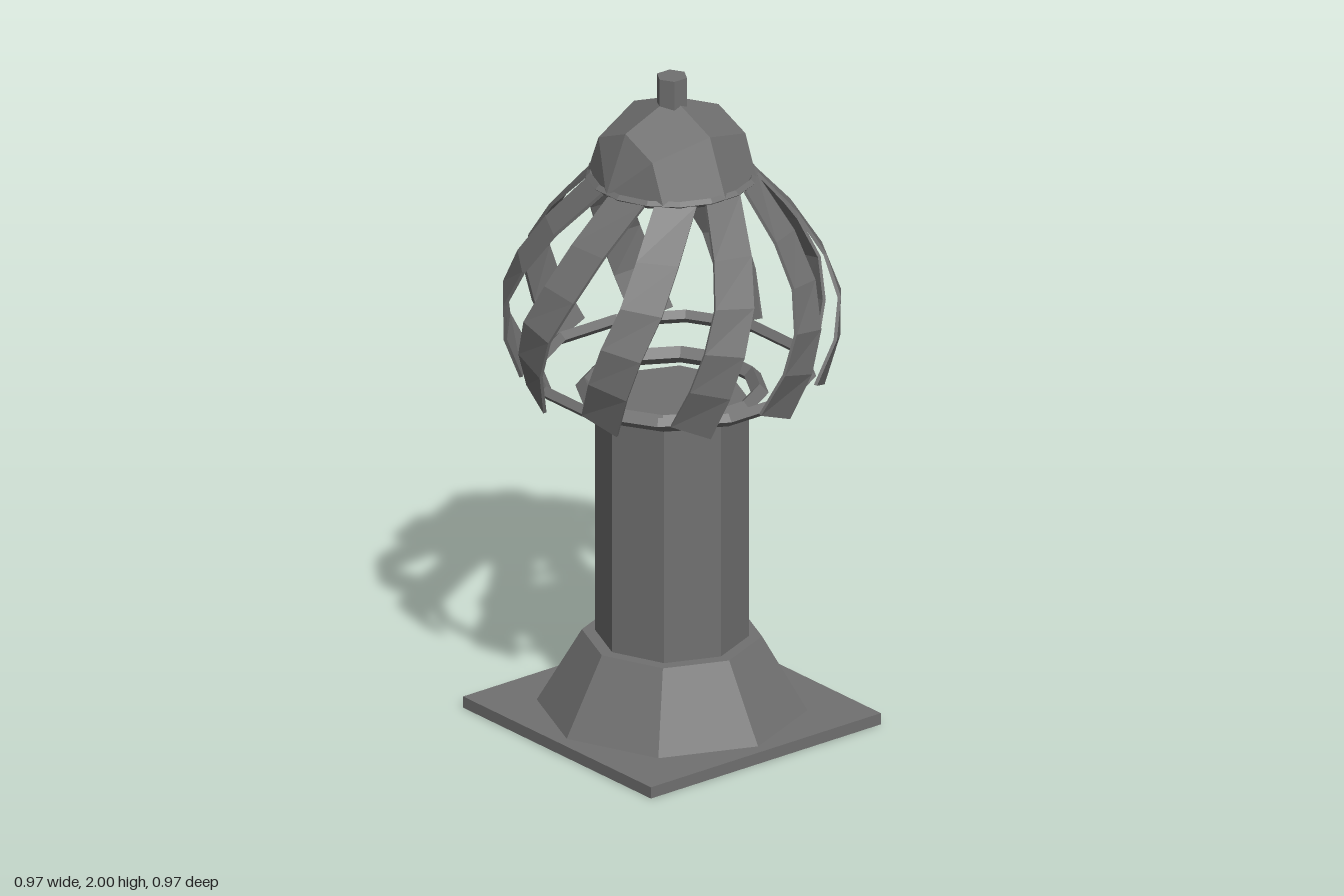
import * as THREE from 'three';

const color = 0x707070;
const material = new THREE.MeshStandardMaterial({ color, flatShading: true });
const openMaterial = new THREE.MeshStandardMaterial({ color, flatShading: true, side: THREE.DoubleSide });

// Flat bar swept through [radius, height, angle] stations; it starts level and leans into its path
function ribbonGeometry(stations, width, thickness) {
  const angles = stations.map((s) => THREE.MathUtils.degToRad(s[2]));
  const pts = stations.map(([r, y], i) =>
    new THREE.Vector3(r * Math.cos(angles[i]), y, r * Math.sin(angles[i])));
  const last = pts.length - 1;
  const sections = pts.map((p, i) => {
    const t = pts[Math.min(i + 1, last)].clone().sub(pts[Math.max(i - 1, 0)]).normalize();
    const across = new THREE.Vector3(p.x, 0, p.z).cross(t).normalize();
    const w = new THREE.Vector3(Math.sin(angles[i]), 0, -Math.cos(angles[i]))
      .lerp(across, i / last).normalize();
    const n = t.clone().cross(w).normalize();
    return [[1, 1], [1, -1], [-1, -1], [-1, 1]].map(([sn, sw]) =>
      p.clone().addScaledVector(n, sn * thickness / 2).addScaledVector(w, sw * width / 2));
  });
  const tris = [];
  const quad = (a, b, c, d) => tris.push(a, b, c, a, c, d);
  for (let i = 0; i < last; i++) {
    const s = sections[i], e = sections[i + 1];
    for (let j = 0; j < 4; j++) {
      const k = (j + 1) % 4;
      quad(s[j], s[k], e[k], e[j]);
    }
  }
  quad(...sections[last]);
  quad(...[...sections[0]].reverse());
  const geometry = new THREE.BufferGeometry().setFromPoints(tris);
  geometry.computeVertexNormals();
  return geometry;
}

export function createModel() {
  const model = new THREE.Group();
  const add = (name, geometry, y = 0, mat = material, parent = model) => {
    const mesh = new THREE.Mesh(geometry, mat);
    mesh.name = name;
    mesh.position.y = y;
    parent.add(mesh);
    return mesh;
  };
  const prism = (rTop, rBottom, y0, y1, sides) =>
    new THREE.CylinderGeometry(rTop, rBottom, y1 - y0, sides).translate(0, (y0 + y1) / 2, 0);
  const ring = (radius, tube, sides) =>
    new THREE.TorusGeometry(radius, tube, 4, sides).rotateX(Math.PI / 2).rotateY(Math.PI / sides);

  // Pedestal
  add('basePlate', new THREE.BoxGeometry(0.852, 0.035, 0.852), 0.0175);
  add('flaredFoot', prism(0.26, 0.39, 0.035, 0.26, 8));
  add('column', prism(0.222, 0.222, 0.26, 1.0, 8));
  add('collar', ring(0.253, 0.026, 12), 1.022);

  // Cage of twisted bars between two rings
  const cage = new THREE.Group();
  cage.name = 'cage';
  model.add(cage);
  add('lowerRing', ring(0.396, 0.02, 12), 1.08, material, cage);
  add('upperRing', ring(0.237, 0.012, 16), 1.695, material, cage);
  const bar = ribbonGeometry([
    [0.235, 1.69, 73], [0.355, 1.56, 82], [0.435, 1.44, 87],
    [0.48, 1.32, 93], [0.475, 1.2, 98], [0.43, 1.07, 104],
  ], 0.123, 0.01);
  for (let i = 0; i < 10; i++) {
    add('twistedBar', bar, 0, material, cage).rotation.y = i * Math.PI / 5;
  }

  // Faceted half dome with its poles lying front and back, and the stub on top
  add('dome', new THREE.SphereGeometry(0.244, 4, 4, 0, Math.PI).rotateX(-Math.PI / 2), 1.692, openMaterial);
  add('finial', prism(0.046, 0.046, 1.9, 2.0, 6));
  return model;
}
